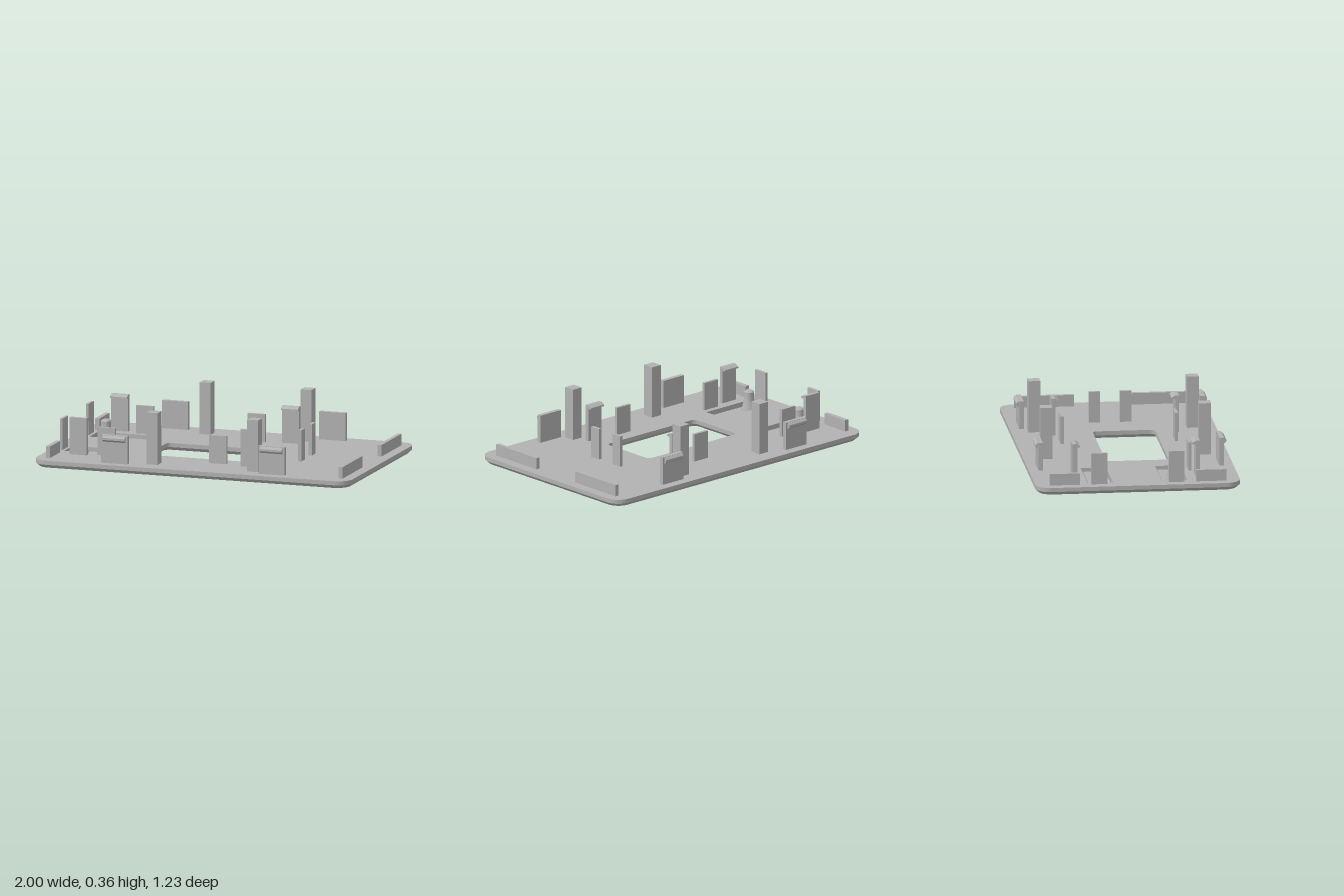
import * as THREE from 'three';
import { mergeGeometries, toCreasedNormals } from 'three/addons/utils/BufferGeometryUtils.js';

const PLATE_TOP = 0.045, CHAMFER = 0.02;

// Rounded rectangle drawn in plan; plan y is -z.
function roundedRect(Type, x0, x1, z0, z1, r) {
  const p = new Type(), h = Math.PI / 2;
  p.absarc(x1 - r, -z1 + r, r, -h, 0);
  p.absarc(x1 - r, -z0 - r, r, 0, h);
  p.absarc(x0 + r, -z0 - r, r, h, 2 * h);
  p.absarc(x0 + r, -z1 + r, r, 2 * h, 3 * h);
  return p;
}

function rect(x0, x1, z0, z1) {
  return new THREE.Path([[x0, z1], [x1, z1], [x1, z0], [x0, z0]].map(([x, z]) => new THREE.Vector2(x, -z)));
}

// Wall between two matching outlines at heights y0 and y1.
function band(low, y0, high, y1) {
  const pos = [], n = low.length;
  const put = (p, y) => pos.push(p.x, y, -p.y);
  for (let i = 0; i < n; i++) {
    const j = (i + 1) % n;
    put(low[i], y0); put(low[j], y0); put(high[j], y1);
    put(low[i], y0); put(high[j], y1); put(high[i], y1);
  }
  const g = new THREE.BufferGeometry();
  g.setAttribute('position', new THREE.Float32BufferAttribute(pos, 3));
  g.computeVertexNormals();
  return g;
}

function plateGeometry() {
  // The chamfer shrinks the rim and widens the window toward the underside.
  const outline = (c) => {
    const s = roundedRect(THREE.Shape, -1 + c, 1 - c, -0.615 + c, 0.615 - c, 0.09 - c * 0.5);
    s.holes.push(roundedRect(THREE.Path, -0.405 - c, 0.305 + c, -0.13 - c, 0.245 + c, 0.03 + c * 0.5));
    for (const [a, b] of [[-0.3, -0.147], [0.147, 0.3]]) s.holes.push(rect(-0.905, -0.55, a, b));
    return s;
  };
  const top = outline(0), bottom = outline(CHAMFER);
  const cap = (shape, y, flip) => {
    const g = new THREE.ShapeGeometry(shape, 8).rotateX(-Math.PI / 2).translate(0, y, 0);
    if (flip) g.index.array.reverse();
    const flat = g.toNonIndexed();
    flat.deleteAttribute('uv');
    flat.computeVertexNormals();
    return flat;
  };
  const parts = [cap(top, PLATE_TOP, false), cap(bottom, 0, true)];
  const loops = (s) => [s, ...s.holes].map((p, i) => {
    const pts = p.getPoints(8);
    const ccw = !THREE.ShapeUtils.isClockWise(pts);
    return ccw === (i === 0) ? pts : pts.reverse();
  });
  const t = loops(top), b = loops(bottom);
  t.forEach((pts, i) => {
    parts.push(band(pts, CHAMFER, pts, PLATE_TOP));
    parts.push(band(b[i], 0, pts, CHAMFER));
  });
  return toCreasedNormals(mergeGeometries(parts), 0.5);
}

export function createModel() {
  const model = new THREE.Group();
  model.name = 'coverPlate';
  const grey = new THREE.MeshStandardMaterial({ color: 0xb2b2b2 });
  grey.name = 'grey plastic';

  const add = (name, geometry) => {
    const m = new THREE.Mesh(geometry, grey);
    m.name = name;
    model.add(m);
  };
  // Box standing on the plate.
  const block = (name, x0, x1, z0, z1, top) => {
    const y0 = PLATE_TOP - 0.005;
    add(name, new THREE.BoxGeometry(x1 - x0, top - y0, Math.abs(z1 - z0))
      .translate((x0 + x1) / 2, (top + y0) / 2, (z0 + z1) / 2));
  };
  // Side profile of [z, y] points swept from x0 to x1.
  const sweep = (name, profile, side, x0, x1) => {
    const s = new THREE.Shape(profile.map(([z, y]) => new THREE.Vector2(z * side, y)));
    add(name, new THREE.ExtrudeGeometry(s, { depth: x1 - x0, bevelEnabled: false })
      .rotateY(-Math.PI / 2).translate(x1, 0, 0));
  };

  add('plate', plateGeometry());

  const outerHook = [[0.55, 0.175], [0.56, 0.175], [0.573, 0.187], [0.573, 0.2], [0.56, 0.213], [0.55, 0.213]];
  const innerClip = [[0.383, 0.04], [0.36, 0.04], [0.36, 0.248], [0.338, 0.248],
    [0.338, 0.257], [0.36, 0.27], [0.383, 0.27]];

  for (const s of [-1, 1]) {
    // Low end ribs
    block('endRib', 0.913, 0.937, s * 0.17, s * 0.53, 0.115);
    block('endRib', -0.94, -0.913, s * 0.35, s * 0.53, 0.115);
    // Thin guide blades
    block('endBlade', -0.94, -0.923, s * 0.185, s * 0.28, 0.235);
    block('guideBlade', 0.515, 0.535, s * 0.06, s * 0.128, 0.235);
    // Tall square posts
    for (const x of [-0.31, 0.328]) block('squarePost', x, x + 0.07, s * 0.44, s * 0.512, 0.36);
    // Inner support ribs
    for (const x of [-0.675, 0.03]) block('supportRib', x, x + 0.11, s * 0.334, s * 0.353, 0.215);
    // Outer snap clips with a narrower hook
    for (const x of [-0.58, 0.415]) {
      block('snapClip', x, x + 0.165, s * 0.53, s * 0.557, 0.215);
      sweep('snapHook', outerHook, s, x + 0.012, x + 0.153);
    }
    // Inner clips hooked toward the middle
    for (const x of [-0.842, 0.24]) sweep('innerClip', innerClip, s, x, x + 0.108);

    // Flexible tongue with a push button
    const zc = s * 0.2225;
    const tongue = new THREE.Shape(rect(-0.885, -0.549, zc - 0.062, zc + 0.062).getPoints());
    tongue.holes.push(new THREE.Path().absarc(-0.825, -zc, 0.036, 0, Math.PI * 2, true));
    add('buttonTongue', new THREE.ExtrudeGeometry(tongue, { depth: 0.022, bevelEnabled: false, curveSegments: 16 })
      .rotateX(-Math.PI / 2));
    const profile = [[0, 0.008], [0.038, 0.008], [0.038, 0.022], [0.047, 0.022], [0.042, 0.04], [0.033, 0.075],
      [0.03, 0.09], [0.03, 0.132], [0.022, 0.141], [0, 0.141]].map(([r, y]) => new THREE.Vector2(r, y));
    add('pushButton', toCreasedNormals(new THREE.LatheGeometry(profile, 24), 0.5).translate(-0.825, 0, zc));
  }
  return model;
}
